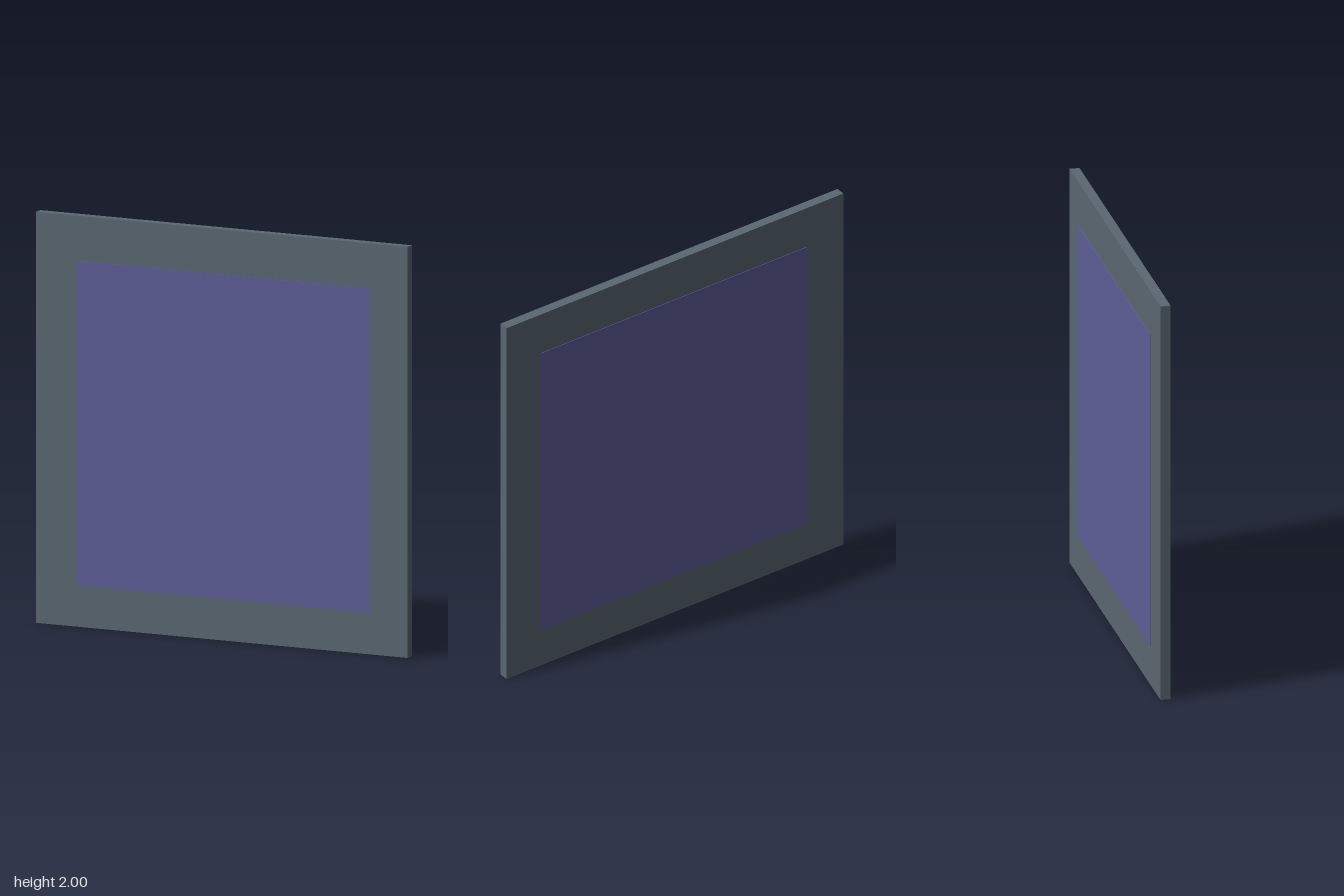
import * as THREE from 'three';

const SIZE = 2, FRAME_DEPTH = 0.05, PANE_DEPTH = 0.056;
const PANE = { x0: -0.78, x1: 0.8, y0: 0.2, y1: 1.78 };

// Closed rectangle outline, usable as a shape or a hole
function rect(Type, x0, y0, x1, y1) {
  const path = new Type();
  path.moveTo(x0, y0);
  path.lineTo(x1, y0);
  path.lineTo(x1, y1);
  path.lineTo(x0, y1);
  path.closePath();
  return path;
}

export function createModel() {
  const group = new THREE.Group();
  group.name = 'framedPanel';

  // Flat square border with a slightly off-centre opening
  const outline = rect(THREE.Shape, -SIZE / 2, 0, SIZE / 2, SIZE);
  outline.holes.push(rect(THREE.Path, PANE.x0, PANE.y0, PANE.x1, PANE.y1));
  const frameGeometry = new THREE.ExtrudeGeometry(outline, { depth: FRAME_DEPTH, bevelEnabled: false });
  frameGeometry.translate(0, 0, -FRAME_DEPTH / 2);
  const frame = new THREE.Mesh(frameGeometry, new THREE.MeshStandardMaterial({ color: 0x5a6772 }));
  frame.name = 'frame';

  // Pane filling the opening, just proud of the frame on both faces
  const pane = new THREE.Mesh(
    new THREE.BoxGeometry(PANE.x1 - PANE.x0, PANE.y1 - PANE.y0, PANE_DEPTH),
    new THREE.MeshStandardMaterial({ color: 0x5e5e98 })
  );
  pane.position.set((PANE.x0 + PANE.x1) / 2, (PANE.y0 + PANE.y1) / 2, 0);
  pane.name = 'pane';

  group.add(frame, pane);
  return group;
}
